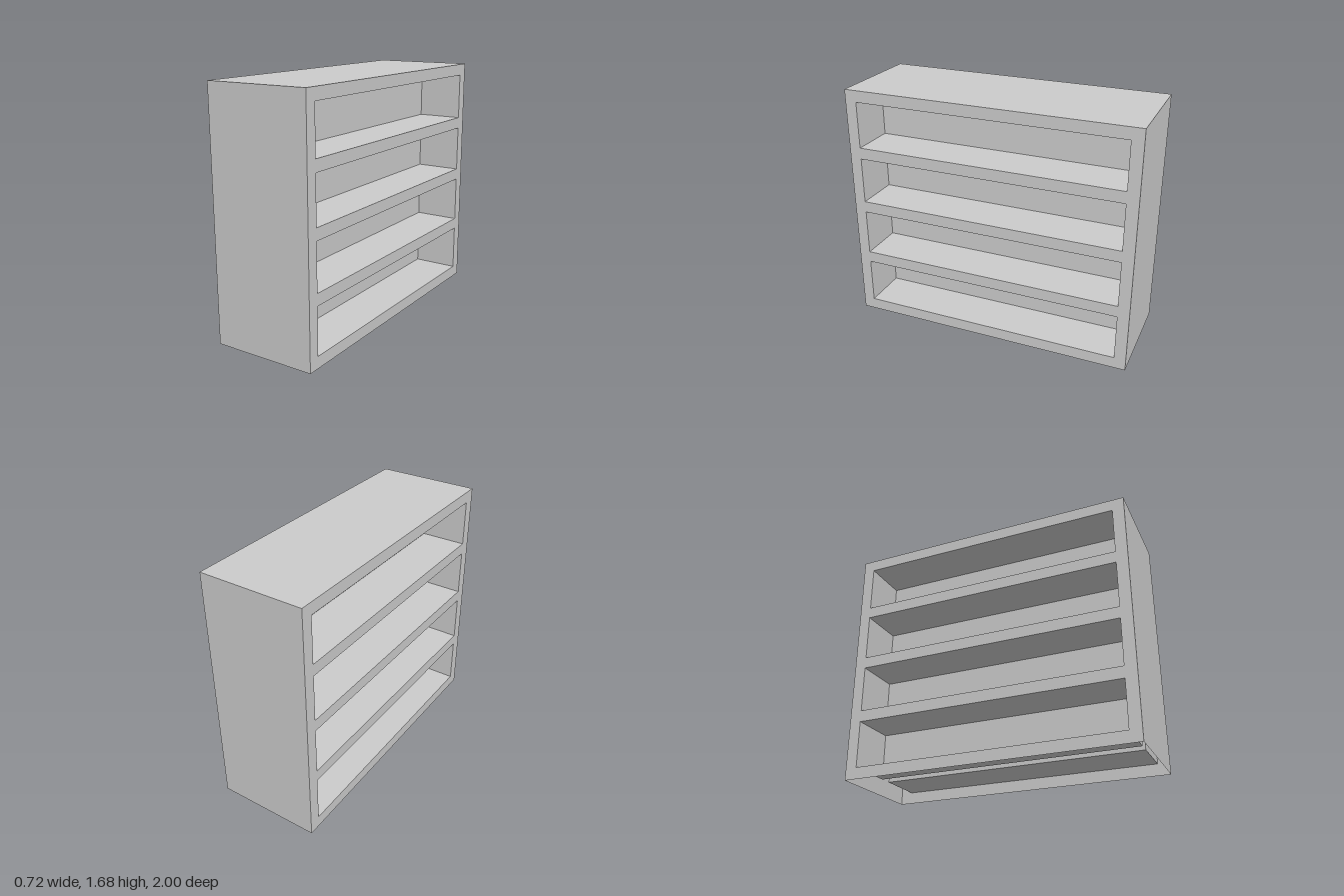
import * as THREE from 'three';

const WIDTH = 0.72, HEIGHT = 1.68, LENGTH = 2;
const WALL = 0.08, BAY_HEIGHT = 0.32, BAY_COUNT = 4;
const BAY_DEPTH = (WIDTH - WALL) / 2, BAY_LENGTH = LENGTH - 2 * WALL;

const material = new THREE.MeshStandardMaterial({ color: 0xcccccc, side: THREE.DoubleSide });

function addMesh(parent, name, geometry) {
  const mesh = new THREE.Mesh(geometry, material);
  mesh.name = name;
  parent.add(mesh);
  return mesh;
}

function rectangle(path, x0, y0, x1, y1) {
  return path.moveTo(x0, y0).lineTo(x1, y0).lineTo(x1, y1).lineTo(x0, y1).closePath();
}

// Five-sided recess, open towards +x, with its faces turned inward
function bayGeometry() {
  const geometry = new THREE.BoxGeometry(BAY_DEPTH, BAY_HEIGHT, BAY_LENGTH);
  const index = Array.from(geometry.index.array).slice(6).reverse();
  geometry.setIndex(index);
  geometry.clearGroups();
  geometry.computeVertexNormals();
  return geometry;
}

// One long side: pierced face, its shelf bays and one closed end
function createSide(name) {
  const side = new THREE.Group();
  side.name = name;

  const face = rectangle(new THREE.Shape(), -LENGTH / 2, 0, LENGTH / 2, HEIGHT);
  const bay = bayGeometry();
  for (let i = 0; i < BAY_COUNT; i++) {
    const y = WALL + i * (BAY_HEIGHT + WALL);
    face.holes.push(rectangle(new THREE.Path(), -BAY_LENGTH / 2, y, BAY_LENGTH / 2, y + BAY_HEIGHT));
    addMesh(side, 'shelfBay' + (i + 1), bay)
      .position.set(WIDTH / 2 - BAY_DEPTH / 2, y + BAY_HEIGHT / 2, 0);
  }
  addMesh(side, 'shelfFrame', new THREE.ShapeGeometry(face).rotateY(Math.PI / 2)).position.x = WIDTH / 2;

  addMesh(side, 'endPanel', new THREE.PlaneGeometry(WIDTH, HEIGHT))
    .position.set(0, HEIGHT / 2, LENGTH / 2);
  return side;
}

export function createModel() {
  const model = new THREE.Group();
  model.name = 'doubleSidedShelf';

  // The two sides are the same, turned half a circle; the underside is open
  const left = createSide('leftSide');
  const right = createSide('rightSide');
  right.rotation.y = Math.PI;
  model.add(left, right);

  addMesh(model, 'topPanel', new THREE.PlaneGeometry(WIDTH, LENGTH).rotateX(-Math.PI / 2)).position.y = HEIGHT;
  return model;
}
